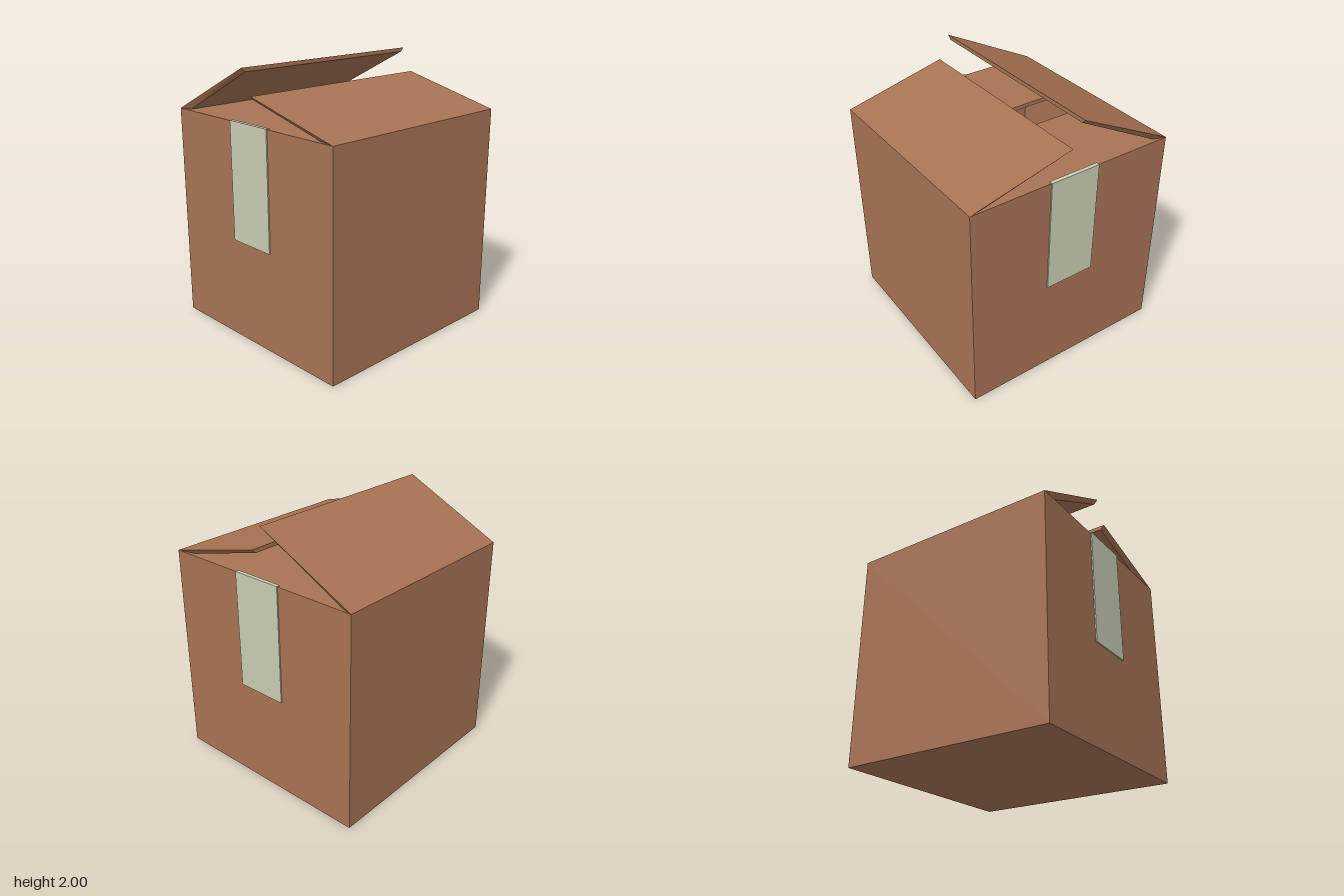
import * as THREE from 'three';
import { ConvexGeometry } from 'three/addons/geometries/ConvexGeometry.js';

const HALF = 0.81;   // half width of the box
const TOP = 1.625;   // height of the rim
const WALL = 0.03;   // cardboard thickness

export function createModel() {
  const group = new THREE.Group();
  const cardboard = new THREE.MeshStandardMaterial({ color: 0xa87354 });
  cardboard.name = 'cardboard brown';
  const tapeColour = new THREE.MeshStandardMaterial({ color: 0xc8cdb3 });
  tapeColour.name = 'tape pale green';

  const add = (name, geometry, material, x = 0, y = 0, z = 0) => {
    const mesh = new THREE.Mesh(geometry, material);
    mesh.name = name;
    mesh.position.set(x, y, z);
    group.add(mesh);
    return mesh;
  };

  const square = (Type, h) => new Type([
    new THREE.Vector2(-h, -h), new THREE.Vector2(h, -h),
    new THREE.Vector2(h, h), new THREE.Vector2(-h, h),
  ]);

  // Four hollow walls in one ring, with a floor inside
  const ring = square(THREE.Shape, HALF);
  ring.holes.push(square(THREE.Path, HALF - WALL));
  const walls = new THREE.ExtrudeGeometry(ring, { depth: TOP, bevelEnabled: false });
  walls.rotateX(-Math.PI / 2);
  add('walls', walls, cardboard);
  const inside = 2 * (HALF - WALL);
  add('floor', new THREE.BoxGeometry(inside, WALL, inside), cardboard, 0, WALL / 2, 0);

  // Closed inner flaps, leaving a gap in the middle
  const innerFlap = (name, z0, z1) => add(name,
    new THREE.BoxGeometry(inside, WALL, z1 - z0), cardboard, 0, TOP - WALL / 2, (z0 + z1) / 2);
  innerFlap('frontInnerFlap', 0.14, HALF - WALL);
  innerFlap('backInnerFlap', -HALF + WALL, -0.15);

  // Raised outer flaps: the underside is inset, so the cut sides slope inwards
  const outerFlap = (name, hingeX, tipX, tipY, underX) => {
    const points = [];
    for (const s of [-1, 1]) {
      const outer = s * HALF, inner = s * (HALF - WALL);
      points.push(
        new THREE.Vector3(hingeX, TOP, outer),
        new THREE.Vector3(tipX, tipY, outer),
        new THREE.Vector3(tipX, tipY - WALL, inner),
        new THREE.Vector3(underX, TOP, inner),
      );
    }
    add(name, new ConvexGeometry(points), cardboard);
  };
  outerFlap('rightOuterFlap', -HALF, -0.055, 2.0, -0.715);
  outerFlap('leftOuterFlap', HALF, 0.03, 1.82, 0.67);

  // Tape strips folded a little way over the front and back rims
  for (const [name, s] of [['front', 1], ['back', -1]]) {
    add(name + 'Tape', new THREE.BoxGeometry(0.39, 0.875, 0.009), tapeColour,
      0, 1.1925, s * (HALF + 0.0045));
    add(name + 'TapeFold', new THREE.BoxGeometry(0.39, 0.005, 0.02), tapeColour,
      0, TOP + 0.0025, s * (HALF - 0.01));
  }
  return group;
}
